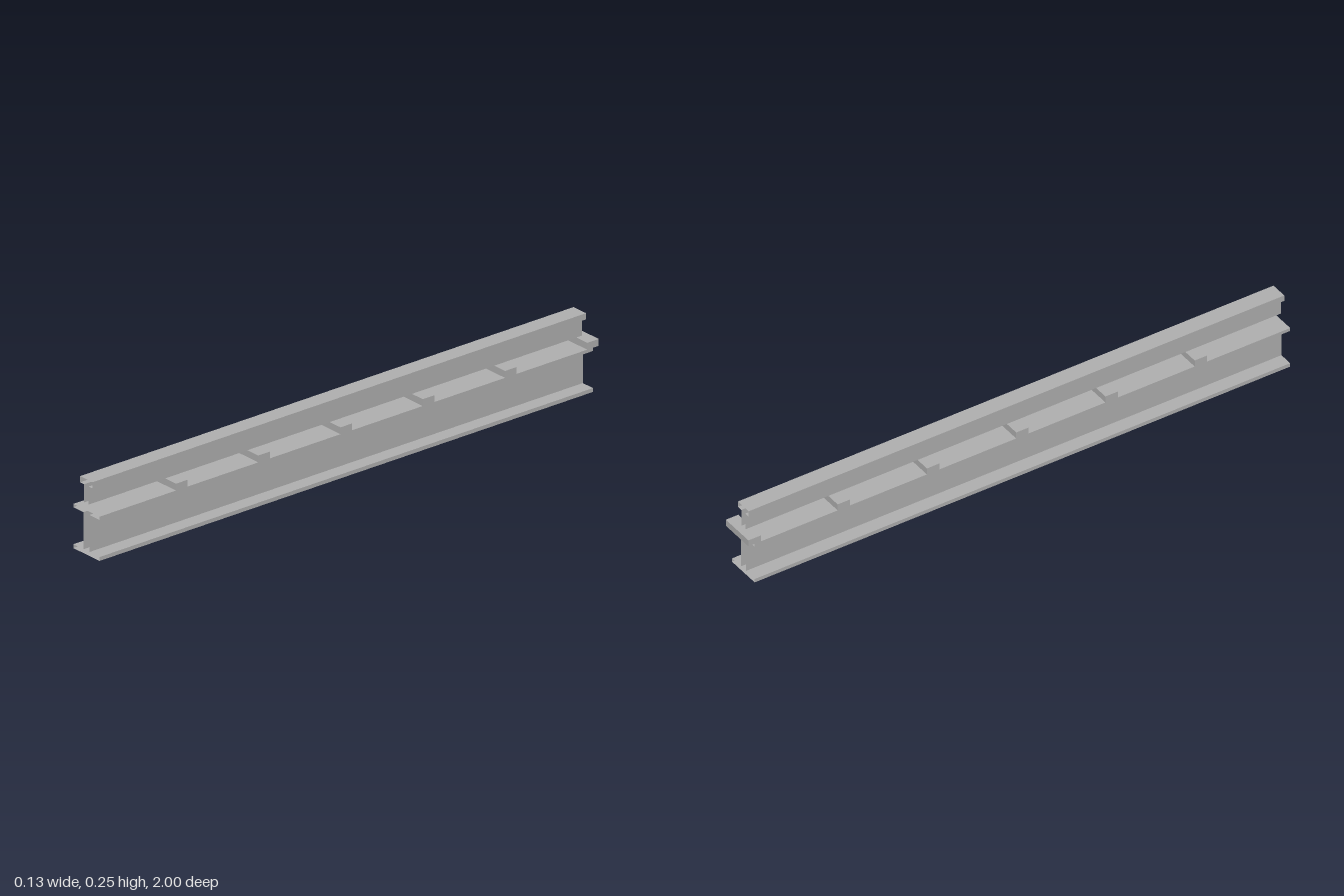
import * as THREE from 'three';

const FRONT = 1, BACK = -0.977;

// Hollow beam with open ends: a mirrored half profile (bottom to top) swept along z
function openBeam(half) {
  const loop = [...half, ...half.map(([x, y]) => [-x, y]).reverse()];
  const pos = [];
  loop.forEach(([ax, ay], i) => {
    const [bx, by] = loop[(i + 1) % loop.length];
    pos.push(ax, ay, FRONT, bx, by, BACK, bx, by, FRONT);
    pos.push(ax, ay, FRONT, ax, ay, BACK, bx, by, BACK);
  });
  const geo = new THREE.BufferGeometry();
  geo.setAttribute('position', new THREE.Float32BufferAttribute(pos, 3));
  geo.computeVertexNormals();
  // make sure the walls face outwards (first wall is the +x side of the base)
  if (geo.attributes.normal.getX(0) < 0) {
    for (let i = 0; i < pos.length; i += 9) {
      for (let k = 0; k < 3; k++) [pos[i + 3 + k], pos[i + 6 + k]] = [pos[i + 6 + k], pos[i + 3 + k]];
    }
    geo.setAttribute('position', new THREE.Float32BufferAttribute(pos, 3));
    geo.computeVertexNormals();
  }
  return geo;
}

export function createModel() {
  const group = new THREE.Group();
  const steel = new THREE.MeshStandardMaterial({ color: 0xb0b0b0, side: THREE.DoubleSide });
  steel.name = 'grey steel';

  const add = (name, geo) => {
    const mesh = new THREE.Mesh(geo, steel);
    mesh.name = name;
    group.add(mesh);
    return mesh;
  };

  // Lower I-beam
  add('girder', openBeam([
    [0.063, 0], [0.063, 0.013], [0.014, 0.013],
    [0.014, 0.138], [0.063, 0.138], [0.063, 0.149],
  ]));

  // Upper T-shaped rail
  add('rail', openBeam([
    [0.011, 0.172], [0.011, 0.233], [0.03, 0.233], [0.03, 0.254],
  ]));

  // Cross ties between girder and rail
  for (let i = 0; i < 6; i++) {
    add('crossTie', new THREE.BoxGeometry(0.126, 0.023, 0.046))
      .position.set(0, 0.1605, BACK + i * 0.3295);
  }
  return group;
}
